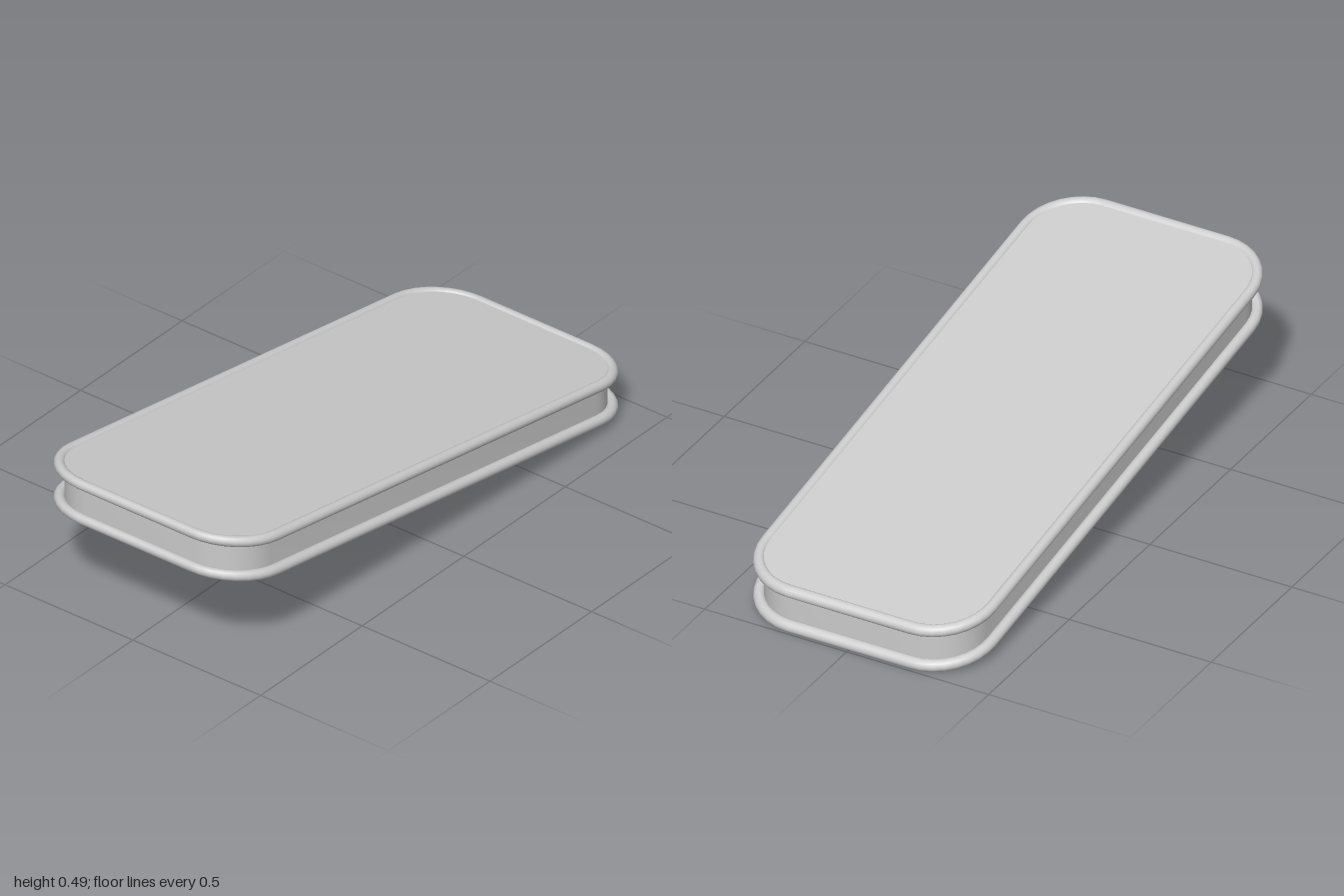
import * as THREE from 'three';
import { toCreasedNormals } from 'three/addons/utils/BufferGeometryUtils.js';

const SLOPE = 0.167;              // rise of the pad per unit of z
const CX = 0.215, CZ = 0.8;       // corner arc centres
const BODY_R = 0.166, PIPE_R = 0.1805, PIPE = 0.0185;
const LOW = 0.1837, HIGH = 0.3085; // heights of the two piping loops at z = 0
const PROUD = 0.0105;             // body face beyond each piping centre line
const SEGS = 8;

const material = new THREE.MeshStandardMaterial({ color: 0xcccccc });

// Slants a geometry while its ends stay vertical
function shear(geometry) {
  const p = geometry.attributes.position;
  for (let i = 0; i < p.count; i++) p.setY(i, p.getY(i) + SLOPE * p.getZ(i));
  return geometry;
}

// Rounded corners in order: centre and angle of each outline sample
function outline() {
  const samples = [];
  [[1, 1], [-1, 1], [-1, -1], [1, -1]].forEach(([sx, sz], q) => {
    for (let k = 0; k <= SEGS; k++) {
      samples.push({ x: sx * CX, z: sz * CZ, a: (q + k / SEGS) * Math.PI / 2 });
    }
  });
  return samples;
}

// Slab with rounded corners
function bodyGeometry() {
  const points = outline().map(({ x, z, a }) =>
    new THREE.Vector2(x + BODY_R * Math.cos(a), z + BODY_R * Math.sin(a)));
  const geometry = new THREE.ExtrudeGeometry(new THREE.Shape(points), {
    depth: HIGH - LOW + 2 * PROUD, bevelEnabled: false,
  });
  geometry.rotateX(-Math.PI / 2).translate(0, LOW - PROUD, 0);
  return toCreasedNormals(shear(geometry), 0.6);
}

// Round cord swept along the outline
function pipingGeometry(y) {
  const rings = outline(), sides = 16, positions = [], index = [];
  rings.forEach(({ x, z, a }, i) => {
    const next = (i + 1) % rings.length;
    for (let j = 0; j < sides; j++) {
      const b = (j / sides) * Math.PI * 2, reach = PIPE_R + PIPE * Math.cos(b);
      positions.push(x + reach * Math.cos(a), y + PIPE * Math.sin(b), z + reach * Math.sin(a));
      const k = (j + 1) % sides;
      const p = i * sides + j, q = i * sides + k, r = next * sides + j, s = next * sides + k;
      index.push(p, q, r, q, s, r);
    }
  });
  const geometry = new THREE.BufferGeometry();
  geometry.setAttribute('position', new THREE.Float32BufferAttribute(positions, 3));
  geometry.setIndex(index);
  shear(geometry).computeVertexNormals();
  return geometry;
}

export function createModel() {
  const model = new THREE.Group();
  model.name = 'slantedCushion';
  const add = (name, geometry) => {
    const mesh = new THREE.Mesh(geometry, material);
    mesh.name = name;
    model.add(mesh);
  };
  add('cushionBody', bodyGeometry());
  add('lowerPiping', pipingGeometry(LOW));
  add('upperPiping', pipingGeometry(HIGH));
  return model;
}
